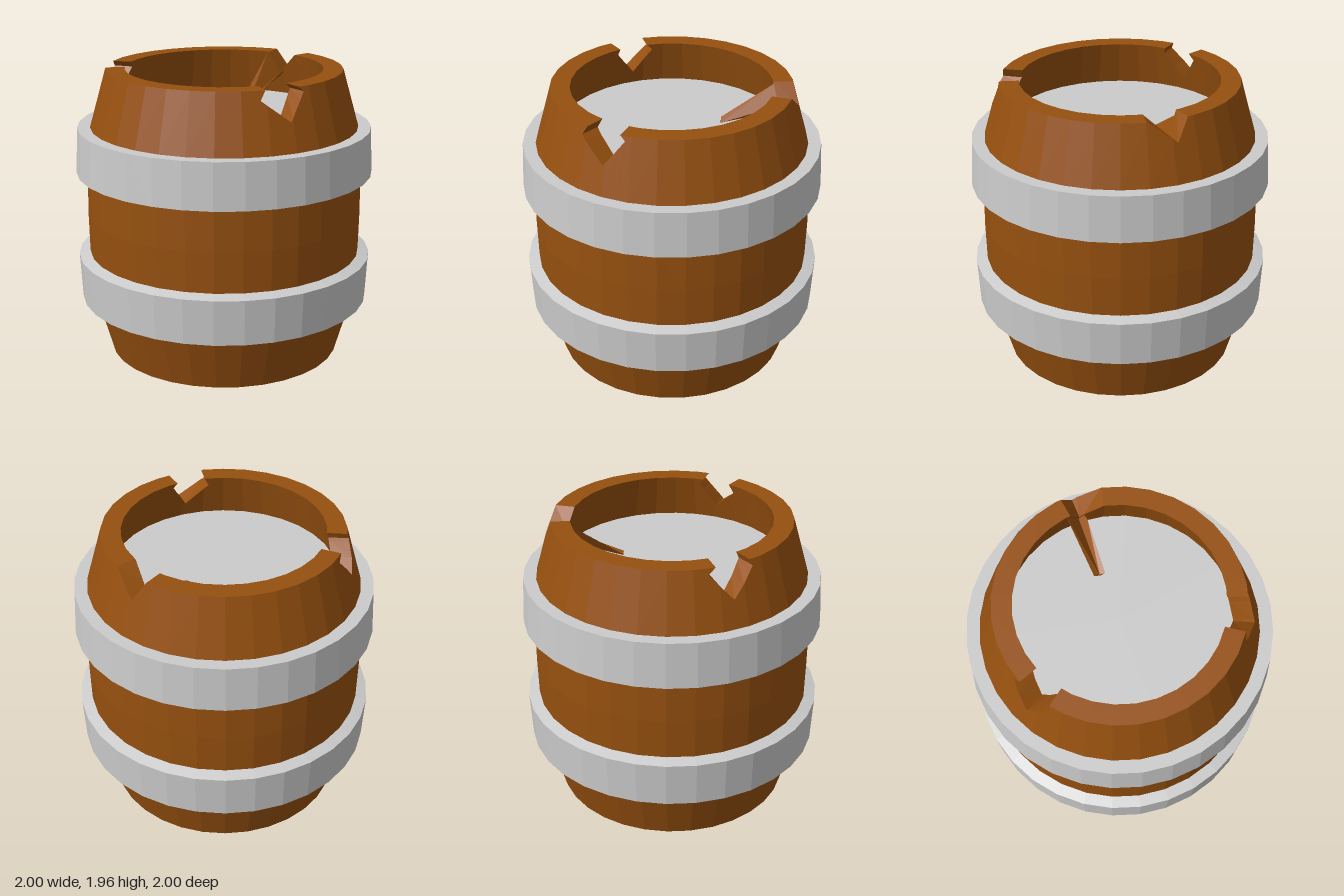
import * as THREE from 'three';

const SIDES = 32, TOP = 1.96, SHOULDER = 1.575;
const STEP = (Math.PI * 2) / SIDES;

const wood = new THREE.MeshStandardMaterial({ color: 0x96500f, flatShading: true });
const woodThin = new THREE.MeshStandardMaterial({ color: 0x96500f, flatShading: true, side: THREE.DoubleSide });
const metal = new THREE.MeshStandardMaterial({ color: 0xcccccc, flatShading: true });

function add(group, name, geometry, material) {
  const mesh = new THREE.Mesh(geometry, material);
  mesh.name = name;
  group.add(mesh);
  return mesh;
}

const lathe = (pts) => new THREE.LatheGeometry(pts.map(([r, y]) => new THREE.Vector2(r, y)), SIDES);

function fromQuads(positions) {
  const g = new THREE.BufferGeometry();
  g.setAttribute('position', new THREE.Float32BufferAttribute(positions, 3));
  g.computeVertexNormals();
  return g;
}

// Notches in the rim: angles of [corner, tip, corner], their heights, and the opening at the rim
const deg = THREE.MathUtils.degToRad;
const notches = [
  { a: [-0.15, -0.04, 0.19], y: [TOP, 1.82, TOP], open: [-0.15, 0.19] },
  { a: [deg(104.5), deg(113.5), deg(126.5)], y: [1.93, 1.76, 1.9], open: [deg(107), deg(124)] },
  { a: [deg(240) - 0.17, deg(240) + 0.025, deg(240) + 0.21], y: [1.92, 1.75, 1.92],
    open: [deg(240) - 0.15, deg(240) + 0.15] },
];

// Point on the outer or inner wall of the 32-sided upper rim
function wallPoint(angle, y, outer) {
  const r = outer
    ? THREE.MathUtils.mapLinear(y, SHOULDER, TOP, 0.9, 0.79)
    : THREE.MathUtils.mapLinear(y, SHOULDER, TOP, 0.76, 0.66);
  const local = angle - (Math.floor(angle / STEP + 1e-7) + 0.5) * STEP;
  const k = (r * Math.cos(STEP / 2)) / Math.cos(local);
  return [k * Math.cos(angle), y, k * Math.sin(angle)];
}

// Upper wall, built column by column so that the notches cut through it
function notchedRim() {
  const out = [];
  const quad = (p, q, r, s) => out.push(...p, ...q, ...r, ...p, ...r, ...s);
  const cell = (a, b, ba, bb, ta, tb) => {
    const P = wallPoint;
    const [oab, obb, oat, obt] = [P(a, ba, 1), P(b, bb, 1), P(a, ta, 1), P(b, tb, 1)];
    const [iab, ibb, iat, ibt] = [P(a, ba, 0), P(b, bb, 0), P(a, ta, 0), P(b, tb, 0)];
    quad(obb, oab, oat, obt);
    quad(iab, ibb, ibt, iat);
    quad(obt, oat, iat, ibt);
    quad(oab, obb, ibb, iab);
  };
  const cuts = Array.from({ length: SIDES + 1 }, (_, i) => (i - 2) * STEP);
  notches.forEach((n) => cuts.push(...n.a, ...n.open));
  cuts.sort((p, q) => p - q);
  const line = (t, t0, t1, y0, y1) => THREE.MathUtils.mapLinear(t, t0, t1, y0, y1);

  for (let i = 0; i + 1 < cuts.length; i++) {
    const a = cuts[i], b = cuts[i + 1], mid = (a + b) / 2;
    if (b - a < 1e-6) continue;
    const n = notches.find((m) => mid > m.a[0] && mid < m.a[2]);
    if (!n) {
      cell(a, b, SHOULDER, SHOULDER, TOP, TOP);
      continue;
    }
    const s = mid < n.a[1] ? 0 : 1;
    const floor = (t) => line(t, n.a[s], n.a[s + 1], n.y[s], n.y[s + 1]);
    cell(a, b, SHOULDER, SHOULDER, floor(a), floor(b));
    // small overhang above the notch corner
    const c = s * 2;
    if (mid < n.open[0] || mid > n.open[1]) {
      const under = (t) => line(t, n.a[c], n.open[s], n.y[c], TOP);
      cell(a, b, under(a), under(b), TOP, TOP);
    }
  }
  return fromQuads(out);
}

// Thin splinter pointing inward from the side notch
function splinterGeometry() {
  const O = [0.82, 1.82, -0.035], R = [0.66, 1.94, -0.12], L = [0.66, 1.83, 0.015];
  const tipR = [0.32, 1.71, -0.06], tipL = [0.32, 1.7, 0.015], tip = [0.32, 1.685, -0.02];
  return fromQuads([
    O, tip, R, tip, tipR, R,
    O, L, tip, L, tipL, tip,
    tip, tipL, tipR,
  ].flat());
}

export function createModel() {
  const group = new THREE.Group();
  group.name = 'barrel';

  // Body with a recessed base
  add(group, 'body', lathe([
    [0, 0.06], [0.67, 0.06], [0.66, 0], [0.79, 0], [0.9, 0.39],
    [0.925, 0.7], [0.93, 0.98], [0.925, 1.26], [0.9, SHOULDER],
  ]), wood);
  add(group, 'notchedRim', notchedRim(), wood);
  add(group, 'splinter', splinterGeometry(), woodThin);

  // Flat filling inside the rim
  const filling = add(group, 'filling', new THREE.CircleGeometry(0.75, SIDES), metal);
  filling.rotation.x = -Math.PI / 2;
  filling.position.y = 1.66;

  // Two hoops, mirrored about the middle
  const hoop = [[0.91, 1.245], [1, 1.27], [0.985, SHOULDER], [0.88, SHOULDER]];
  add(group, 'upperHoop', lathe(hoop), metal);
  add(group, 'lowerHoop', lathe(hoop.map(([r, y]) => [r, TOP - y]).reverse()), metal);

  return group;
}
